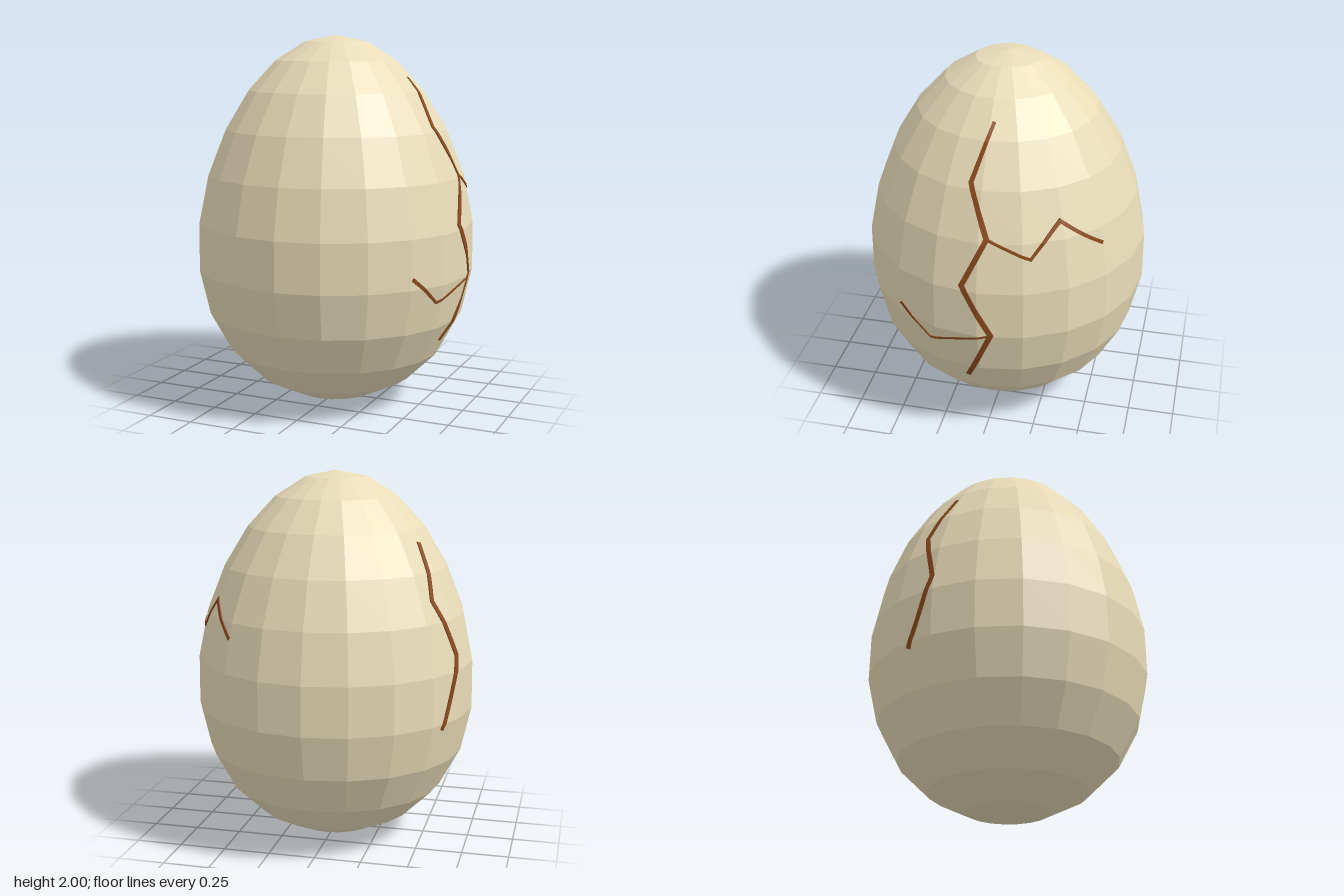
import * as THREE from 'three';

const SIDES = 20, RINGS = 12;

// Egg radius factor: narrower towards the top (t runs from -1 at the base to 1 at the tip)
const taper = (t) => 0.75 * (1 - 0.15 * t);

// Radius of the faceted shell at height y and angle phi
function shellRadius(y, phi) {
  const step = Math.PI / RINGS;
  const theta = Math.acos(THREE.MathUtils.clamp(y - 1, -1, 1));
  const i = Math.min(Math.floor(theta / step), RINGS - 1);
  const [a, b] = [i * step, (i + 1) * step];
  const f = (Math.cos(a) - (y - 1)) / (Math.cos(a) - Math.cos(b));
  const ring = (t) => Math.sin(t) * taper(Math.cos(t));
  const wedge = (2 * Math.PI) / SIDES;
  const local = phi - Math.floor(phi / wedge) * wedge - wedge / 2;
  return THREE.MathUtils.lerp(ring(a), ring(b), f) * Math.cos(wedge / 2) / Math.cos(local);
}

// Point on the shell, raised by lift
function onShell(phi, y, lift = 0) {
  const r = shellRadius(y, phi) + lift;
  return new THREE.Vector3(r * Math.cos(phi), y, r * Math.sin(phi));
}

// Shell point from its side-on position; side is +1 for the +x half, -1 for the -x half
function fromSide(z, y, side) {
  const t = y - 1;
  const r = Math.sqrt(1 - t * t) * taper(t);
  const a = Math.asin(THREE.MathUtils.clamp(z / r, -1, 1));
  return onShell(side > 0 ? a : Math.PI - a, y);
}

function createShell() {
  const geo = new THREE.SphereGeometry(1, SIDES, RINGS);
  const p = geo.attributes.position;
  for (let i = 0; i < p.count; i++) {
    const k = taper(p.getY(i));
    p.setXYZ(i, p.getX(i) * k, p.getY(i) + 1, p.getZ(i) * k);
  }
  const shell = new THREE.Mesh(geo, new THREE.MeshStandardMaterial({ color: 0xe8dcb8, flatShading: true }));
  shell.name = 'shell';
  return shell;
}

// Zigzag raised strip that hugs the shell; each point is [z, y, width]
function createCrack(name, side, points, material) {
  const PER = 10, path = [], widths = [];
  points.forEach(([z, y, w], i) => {
    if (i === 0) return;
    const [z0, y0, w0] = points[i - 1];
    for (let s = i === 1 ? 0 : 1; s <= PER; s++) {
      const f = s / PER, mix = THREE.MathUtils.lerp;
      path.push(fromSide(mix(z0, z, f), mix(y0, y, f), side));
      widths.push(mix(w0, w, f));
    }
  });

  const verts = [], index = [];
  path.forEach((p, i) => {
    const before = p.clone().sub(path[Math.max(i - 1, 0)]).normalize();
    const after = path[Math.min(i + 1, path.length - 1)].clone().sub(p).normalize();
    const tangent = before.add(after);
    const ends = i === 0 || i === path.length - 1;
    const miter = ends ? 1 : 1 / Math.max(0.6, tangent.length() / 2);
    const out = new THREE.Vector3(p.x, 0, p.z).normalize();
    const across = out.cross(tangent).normalize().multiplyScalar((widths[i] / 2) * miter);
    // Section: left foot, left top, right top, right foot
    for (const [s, lift] of [[1, -0.01], [1, 0.006], [-1, 0.006], [-1, -0.01]]) {
      const q = p.clone().addScaledVector(across, s);
      verts.push(...onShell(Math.atan2(q.z, q.x), q.y, lift).toArray());
    }
    if (i > 0) {
      for (let j = 0; j < 3; j++) {
        const a = (i - 1) * 4 + j, b = a + 4;
        index.push(a, a + 1, b + 1, a, b + 1, b);
      }
    }
  });
  // End caps
  for (const e of [0, (path.length - 1) * 4]) index.push(e, e + 1, e + 2, e, e + 2, e + 3);

  const geo = new THREE.BufferGeometry();
  geo.setAttribute('position', new THREE.Float32BufferAttribute(verts, 3));
  geo.setIndex(index);
  geo.computeVertexNormals();
  const mesh = new THREE.Mesh(geo, material);
  mesh.name = name;
  return mesh;
}

export function createModel() {
  const group = new THREE.Group();
  group.name = 'crackedEgg';
  const brown = new THREE.MeshStandardMaterial({ color: 0x8b4a1c, flatShading: true, side: THREE.DoubleSide });

  group.add(createShell());

  // Main crack with two branches on the +x side
  group.add(createCrack('mainCrack', 1, [
    [-0.02, 1.78, 0.018], [0.06, 1.53, 0.024], [-0.04, 1.28, 0.026],
    [0.08, 1.03, 0.028], [-0.07, 0.75, 0.028], [0.08, 0.4, 0.026],
  ], brown));
  group.add(createCrack('upperBranch', 1, [
    [-0.04, 1.28, 0.012], [-0.26, 1.18, 0.014], [-0.38, 1.35, 0.018], [-0.58, 1.18, 0.018],
  ], brown));
  group.add(createCrack('lowerBranch', 1, [
    [-0.07, 0.75, 0.009], [0.27, 0.65, 0.012], [0.44, 0.8, 0.02],
  ], brown));

  // Separate crack on the -x side, towards the back
  group.add(createCrack('backCrack', -1, [
    [-0.18, 1.65, 0.024], [-0.31, 1.37, 0.026], [-0.24, 1.08, 0.028], [-0.37, 0.71, 0.026],
  ], brown));

  return group;
}
